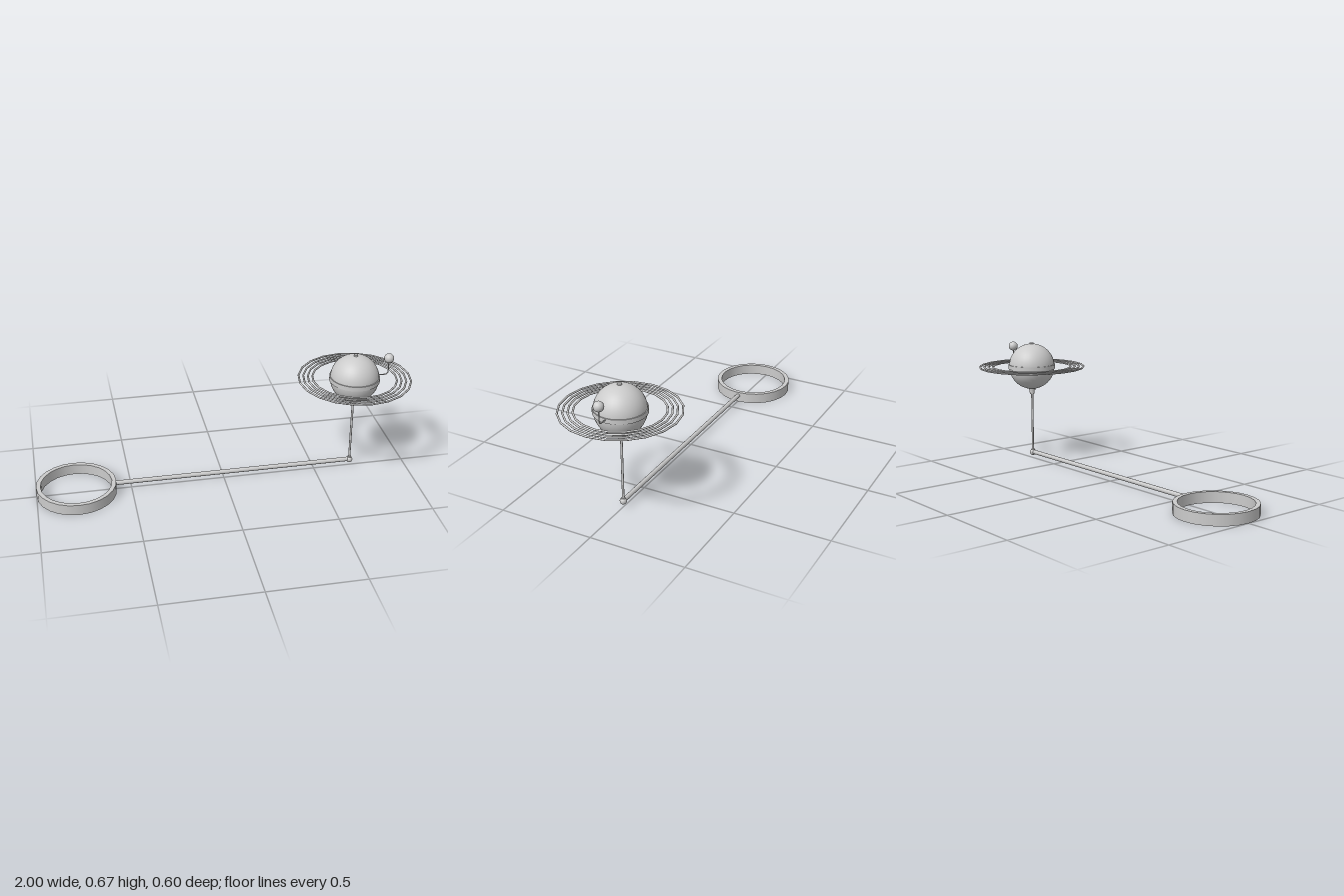
import * as THREE from 'three';

export function createModel() {
  const root = new THREE.Group();
  const mat = new THREE.MeshStandardMaterial({ color: 0xcccccc });
  const add = (parent, name, geo, x = 0, y = 0, z = 0) => {
    const m = new THREE.Mesh(geo, mat);
    m.name = name;
    m.position.set(x, y, z);
    parent.add(m);
    return m;
  };
  const V = (x, y) => new THREE.Vector2(x, y);
  const P = (x, y, z) => new THREE.Vector3(x, y, z);

  // Hollow base ring; separate wall strips keep the rims sharp
  const base = new THREE.Group();
  base.name = 'baseRing';
  base.position.x = -0.79;
  const R = 0.21, r = 0.187, H = 0.057;
  const strips = {
    outerWall: [V(R, 0), V(R, H)],
    topRim: [V(R, H), V(r, H)],
    innerWall: [V(r, H), V(r, 0)],
    bottomRim: [V(r, 0), V(R, 0)],
  };
  for (const [name, pts] of Object.entries(strips)) add(base, name, new THREE.LatheGeometry(pts, 24));
  root.add(base);

  // Horizontal arm, elbow ball and upright post
  const arm = add(root, 'horizontalArm', new THREE.CylinderGeometry(0.012, 0.012, 1.29, 12), 0.055, 0.036);
  arm.rotation.z = Math.PI / 2;
  add(root, 'elbowBall', new THREE.SphereGeometry(0.018, 16, 12), 0.7, 0.034);

  const planet = new THREE.Group();
  planet.name = 'planetAssembly';
  planet.position.x = 0.7;
  root.add(planet);
  add(planet, 'post', new THREE.CylinderGeometry(0.006, 0.006, 0.36, 12), 0, 0.215);
  add(planet, 'postFoot', new THREE.CylinderGeometry(0.011, 0.013, 0.008, 16), 0, 0.047);

  // Stepped collar under the globe
  add(planet, 'lowerCollar', new THREE.CylinderGeometry(0.015, 0.014, 0.023, 16), 0, 0.388);
  add(planet, 'upperCollar', new THREE.CylinderGeometry(0.02, 0.018, 0.014, 16), 0, 0.405);

  // Globe with equator band and top cap
  const cy = 0.535;
  add(planet, 'globe', new THREE.SphereGeometry(0.129, 32, 24), 0, cy);
  add(planet, 'equatorBand', new THREE.CylinderGeometry(0.133, 0.133, 0.024, 32), 0, cy);
  add(planet, 'topCap', new THREE.CylinderGeometry(0.011, 0.012, 0.012, 16), 0, 0.664);

  // Concentric orbit rings
  const rings = new THREE.Group();
  rings.name = 'orbitRings';
  rings.position.y = 0.533;
  [0.222, 0.246, 0.27, 0.295].forEach((radius, i) => {
    add(rings, 'orbitRing' + (i + 1), new THREE.TorusGeometry(radius, 0.005, 8, 20)).rotation.x = Math.PI / 2;
  });
  planet.add(rings);

  // Small moon on a bent rod
  const rod = new THREE.CurvePath();
  rod.add(new THREE.LineCurve3(P(0.12, 0.54, 0), P(0.163, 0.54, 0)));
  rod.add(new THREE.QuadraticBezierCurve3(P(0.163, 0.54, 0), P(0.183, 0.54, 0), P(0.183, 0.56, 0)));
  rod.add(new THREE.LineCurve3(P(0.183, 0.56, 0), P(0.183, 0.62, 0)));
  add(planet, 'moonRod', new THREE.TubeGeometry(rod, 32, 0.003, 8));
  add(planet, 'moon', new THREE.SphereGeometry(0.026, 20, 14), 0.183, 0.632);

  return root;
}
